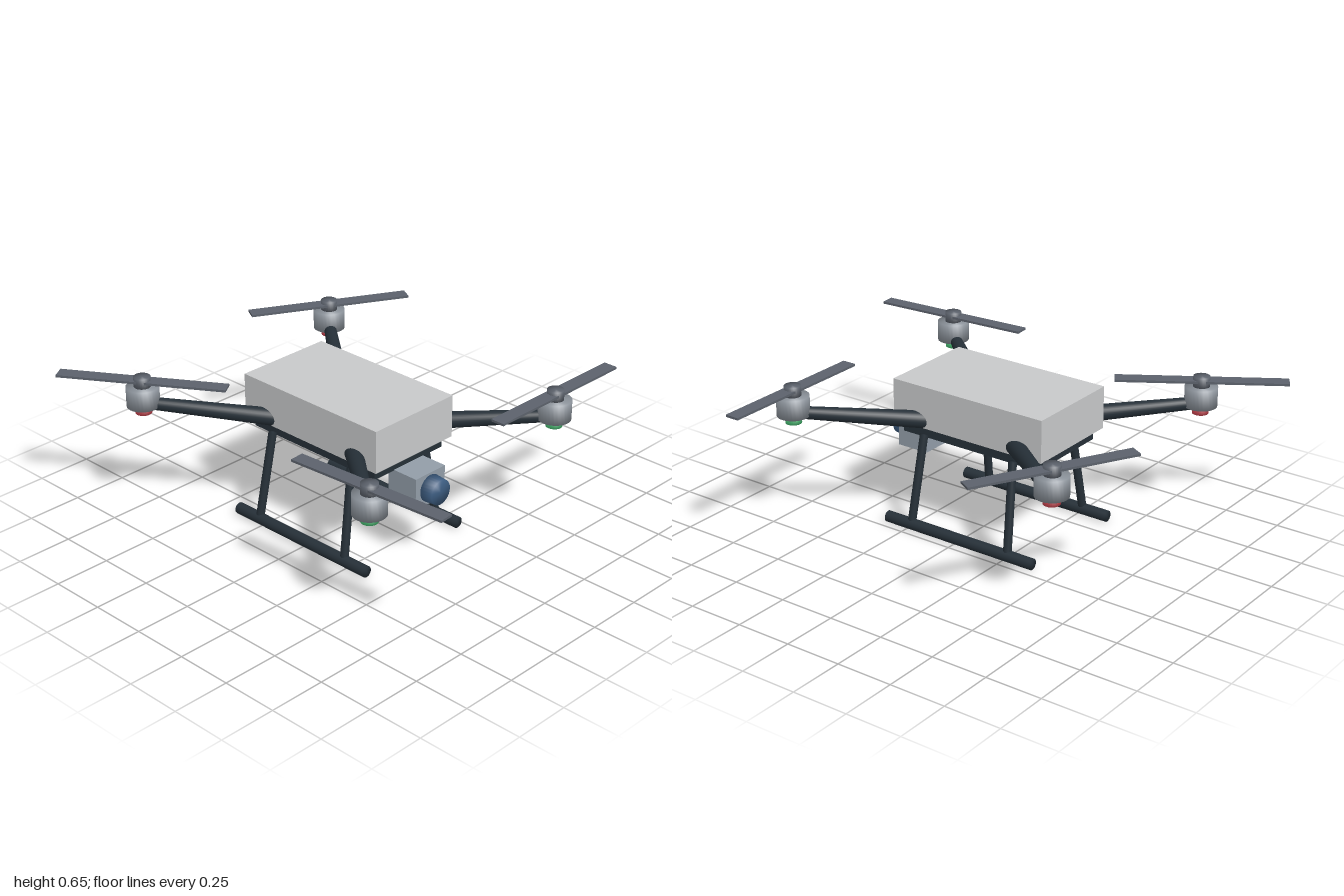
import * as THREE from 'three';

const paint = (name, hex) => Object.assign(new THREE.MeshStandardMaterial({ color: hex }), { name });

export function createModel() {
  const shell = paint('light grey shell', 0xc8c9ca);
  const carbon = paint('dark carbon', 0x263038);
  const metal = paint('motor grey', 0x8b929a);
  const housing = paint('camera housing grey', 0x929da8);
  const rotor = paint('propeller slate', 0x5c626c);
  const glass = paint('lens blue', 0x3c5c80);
  const green = paint('green light', 0x4ecb7c);
  const red = paint('red light', 0xd84a55);

  const model = new THREE.Group();
  model.name = 'quadcopter';
  // The airframe sits slightly off centre because the rotors stop at odd angles
  const frame = new THREE.Group();
  frame.name = 'airframe';
  frame.position.set(-0.073, 0, -0.02);
  model.add(frame);

  const add = (name, geometry, material, x = 0, y = 0, z = 0, parent = frame) => {
    const mesh = new THREE.Mesh(geometry, material);
    mesh.name = name;
    mesh.position.set(x, y, z);
    parent.add(mesh);
    return mesh;
  };

  // Capped drum with soft rims, rising from y = 0 to y = h
  const drum = (r0, r1, h) => new THREE.LatheGeometry(
    [[0, 0], [r0, 0], [r1, h], [0, h]].map(([x, y]) => new THREE.Vector2(x, y)), 28);

  // Tapered rod between two points
  const rod = (name, from, to, r0, r1) => {
    const a = new THREE.Vector3(...from);
    const d = new THREE.Vector3(...to).sub(a);
    const mesh = add(name, drum(r0, r1, d.length()), carbon, ...from);
    mesh.quaternion.setFromUnitVectors(new THREE.Vector3(0, 1, 0), d.normalize());
  };

  // Body and belly plate
  add('body', new THREE.BoxGeometry(0.45, 0.187, 0.754), shell, 0, 0.549, 0);
  add('bellyPlate', new THREE.BoxGeometry(0.4, 0.052, 0.69), carbon, 0, 0.431, 0);

  // Camera slung under the nose
  add('cameraHousing', new THREE.BoxGeometry(0.172, 0.14, 0.15), housing, 0, 0.338, 0.391);
  const lens = add('cameraLens', drum(0.06, 0.055, 0.06), glass, 0, 0.338, 0.463);
  lens.rotation.x = Math.PI / 2;

  // Arms, motors, lights and propellers
  const corners = [
    { name: 'frontLeft', sx: 1, sz: 1, turn: 0 },
    { name: 'backLeft', sx: 1, sz: -1, turn: -0.5 },
    { name: 'backRight', sx: -1, sz: -1, turn: -1 },
    { name: 'frontRight', sx: -1, sz: 1, turn: -1.5 },
  ];
  for (const { name, sx, sz, turn } of corners) {
    const x = sx * 0.547, z = sz * 0.652;
    rod(`${name}Arm`, [sx * 0.19, 0.483, sz * 0.22], [x, 0.531, z], 0.038, 0.026);
    add(`${name}Motor`, drum(0.07, 0.07, 0.088), metal, x, 0.518, z);
    add(`${name}Light`, drum(0.035, 0.035, 0.036), sz > 0 ? green : red, x, 0.484, z);
    add(`${name}Hub`, drum(0.036, 0.036, 0.046), rotor, x, 0.604, z);
    const blade = add(`${name}Propeller`, new THREE.BoxGeometry(0.728, 0.01, 0.063), rotor, x, 0.631, z);
    blade.rotation.y = turn;
  }

  // Landing gear
  for (const sx of [1, -1]) {
    const side = sx > 0 ? 'left' : 'right';
    rod(`${side}Skid`, [sx * 0.277, 0.025, -0.377], [sx * 0.277, 0.025, 0.377], 0.025, 0.025);
    for (const sz of [1, -1]) {
      rod(`${side}${sz > 0 ? 'Front' : 'Back'}Leg`,
        [sx * 0.212, 0.42, sz * 0.228], [sx * 0.277, 0.025, sz * 0.25], 0.018, 0.018);
    }
  }

  return model;
}
